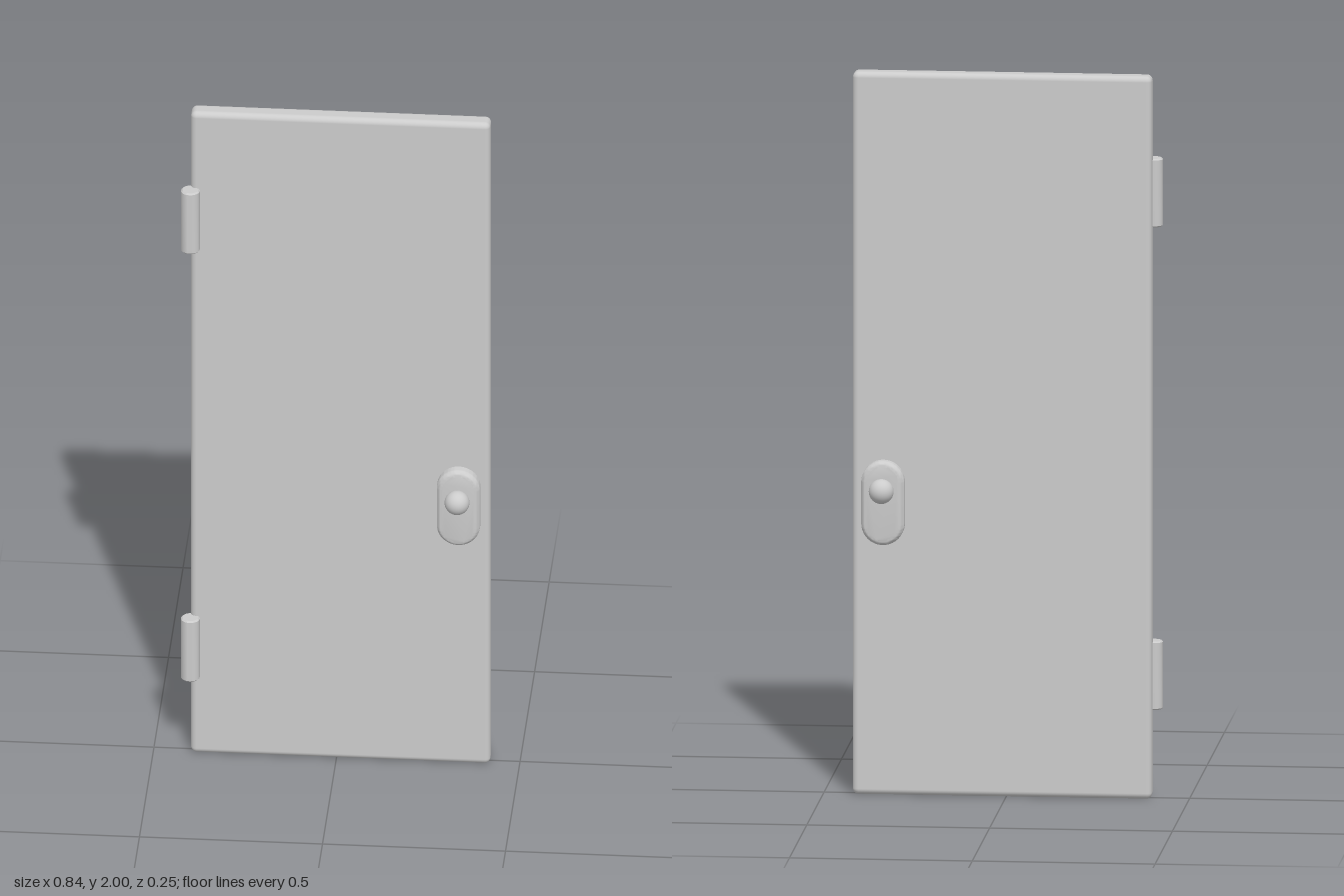
import * as THREE from 'three';
import { toCreasedNormals } from 'three/addons/utils/BufferGeometryUtils.js';
import { RoundedBoxGeometry } from 'three/addons/geometries/RoundedBoxGeometry.js';

const material = new THREE.MeshStandardMaterial({ color: 0xcccccc });
const MID_Z = -0.002; // middle plane of the door leaf

function addMesh(parent, name, geometry, x, y, z) {
  const mesh = new THREE.Mesh(geometry, material);
  mesh.name = name;
  mesh.position.set(x, y, z);
  parent.add(mesh);
  return mesh;
}

// Upright pill outline, centred on the origin
function pillShape(radius, height) {
  const h = height / 2 - radius;
  const shape = new THREE.Shape();
  shape.absarc(0, h, radius, 0, Math.PI);
  shape.absarc(0, -h, radius, Math.PI, Math.PI * 2);
  shape.closePath();
  return shape;
}

// Lock plate with rounded rims, passing through the leaf
function lockPlateGeometry(radius, height, depth, bevel) {
  const geometry = new THREE.ExtrudeGeometry(pillShape(radius - bevel, height - 2 * bevel), {
    depth: depth - 2 * bevel,
    bevelSize: bevel,
    bevelThickness: bevel,
    bevelSegments: 5,
    curveSegments: 20,
  });
  geometry.translate(0, 0, bevel - depth / 2);
  return toCreasedNormals(geometry, 0.7);
}

// Hinge barrel with slightly chamfered ends
function hingeGeometry(radius, height, bevel) {
  const h = height / 2;
  const profile = [
    [0, -h], [radius - bevel, -h], [radius, -h + bevel],
    [radius, h - bevel], [radius - bevel, h], [0, h],
  ].map(([r, y]) => new THREE.Vector2(r, y));
  return toCreasedNormals(new THREE.LatheGeometry(profile, 24), 0.6);
}

export function createModel() {
  const door = new THREE.Group();
  door.name = 'door';

  // Leaf
  addMesh(door, 'doorLeaf', new RoundedBoxGeometry(0.818, 2, 0.056, 4, 0.016), 0.011, 1, MID_Z);

  // Hinges on the front of the right edge
  const hinge = hingeGeometry(0.026, 0.19, 0.004);
  addMesh(door, 'lowerHinge', hinge, -0.398, 0.335, 0.034);
  addMesh(door, 'upperHinge', hinge, -0.398, 1.671, 0.034);

  // Lock plate and a knob on each side
  const lock = new THREE.Group();
  lock.name = 'lock';
  lock.position.set(0.335, 0, MID_Z);
  door.add(lock);
  addMesh(lock, 'lockPlate', lockPlateGeometry(0.059, 0.233, 0.122, 0.015), 0, 0.812, 0);
  const knob = new THREE.SphereGeometry(0.034, 32, 20);
  for (const side of [1, -1]) {
    addMesh(lock, side > 0 ? 'frontKnob' : 'backKnob', knob, 0, 0.852, side * 0.093);
  }

  return door;
}
